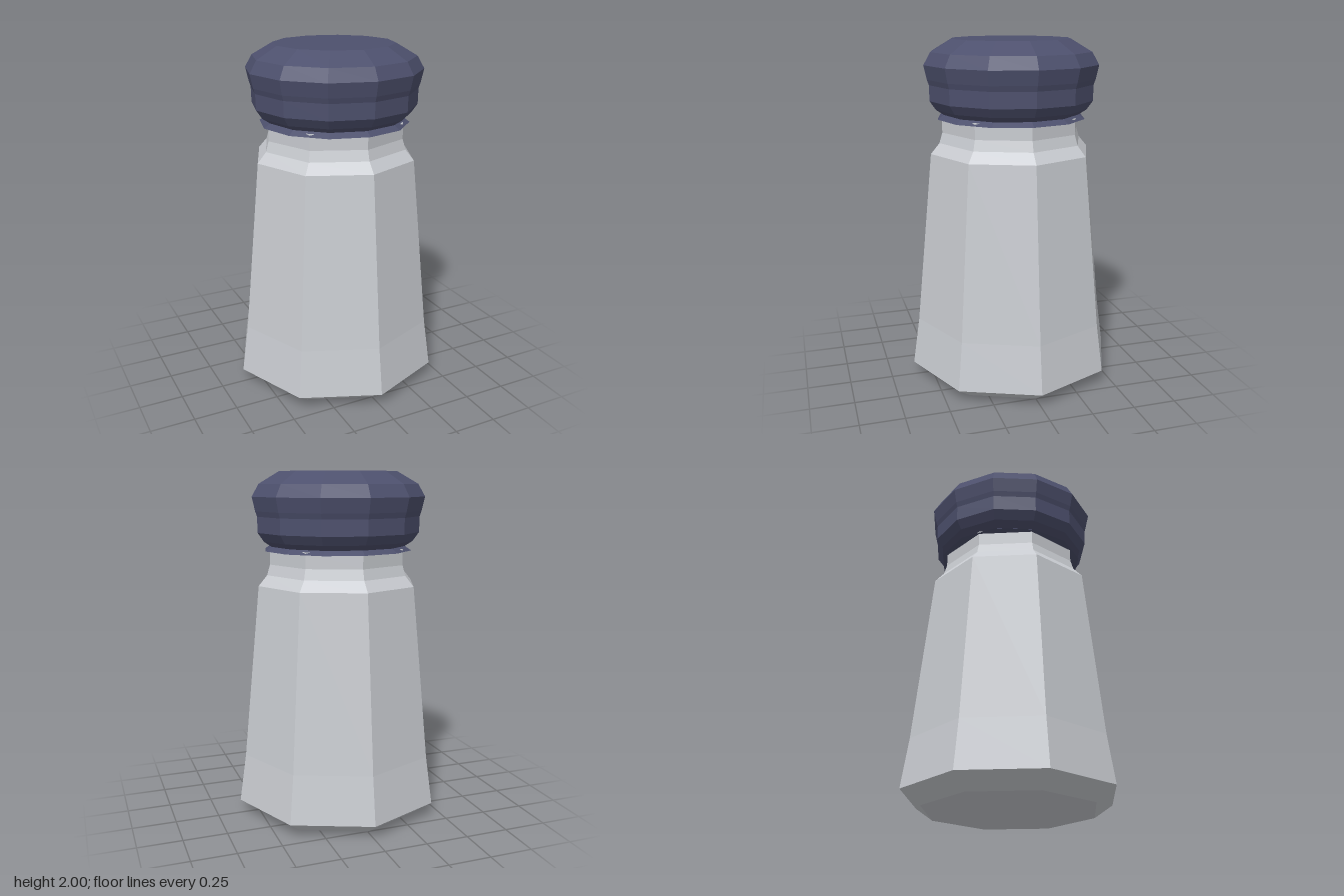
import * as THREE from 'three';

// Faceted turned shape: profile of [radius, y] listed from bottom to top
function faceted(name, profile, sides, material) {
  const points = profile.map(([r, y]) => new THREE.Vector2(r, y));
  const geometry = new THREE.LatheGeometry(points, sides).toNonIndexed();
  geometry.computeVertexNormals(); // one normal per facet
  const mesh = new THREE.Mesh(geometry, material);
  mesh.name = name;
  return mesh;
}

export function createModel() {
  const glass = new THREE.MeshStandardMaterial({ color: 0xc9ccd1 });
  glass.name = 'pale grey glass';
  const lid = new THREE.MeshStandardMaterial({ color: 0x4d506d });
  lid.name = 'slate blue lid';

  const group = new THREE.Group();
  group.name = 'shaker';

  // Octagonal tapering body with bevelled base and narrow neck
  group.add(faceted('body', [
    [0, 0], [0.5, 0], [0.615, 0.08], [0.575, 0.36], [0.476, 1.36],
    [0.425, 1.42], [0.407, 1.48], [0.407, 1.57], [0, 1.57],
  ], 8, glass));

  // Twelve-sided cap with flared rim, waist and chamfered crown
  group.add(faceted('cap', [
    [0, 1.555], [0.432, 1.555], [0.395, 1.58], [0.44, 1.61], [0.475, 1.66],
    [0.477, 1.75], [0.487, 1.78], [0.505, 1.86], [0.465, 1.93], [0.345, 2], [0, 2],
  ], 12, lid));

  return group;
}
